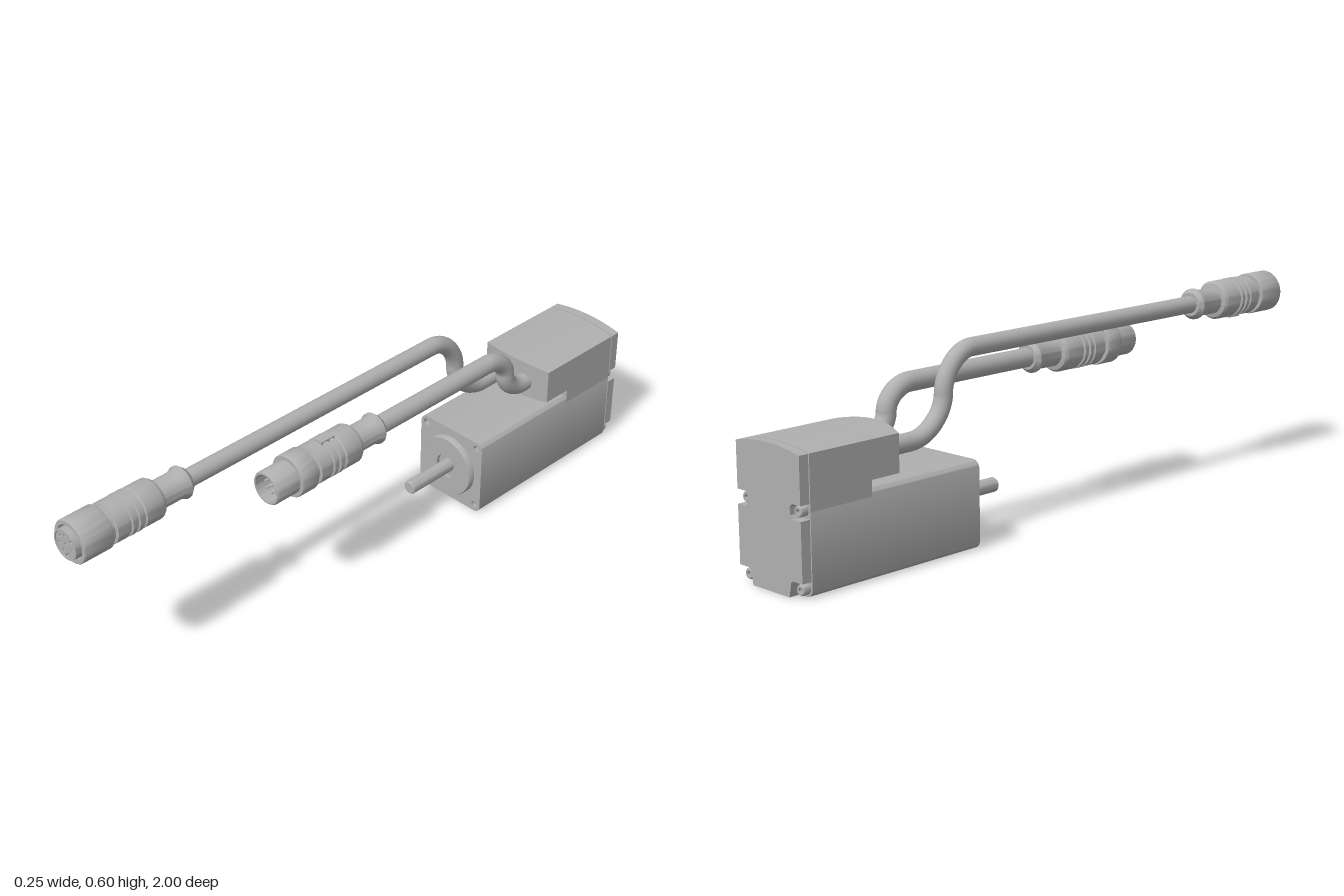
import * as THREE from 'three';
import { toCreasedNormals } from 'three/addons/utils/BufferGeometryUtils.js';

const grey = new THREE.MeshStandardMaterial({ color: 0xb0b0b0 });
grey.name = 'motor grey';

const W = 0.124;        // half width of the motor
const AXIS = 0.124;     // height of the shaft axis
const BOLT = 0.102;     // bolt offset from the axis

function add(parent, name, geometry, x = 0, y = 0, z = 0) {
  const mesh = new THREE.Mesh(geometry, grey);
  mesh.name = name;
  mesh.position.set(x, y, z);
  parent.add(mesh);
  return mesh;
}

// Turned part along z; profile is [radius, z] from back to front
function turned(profile, segments = 40) {
  const points = profile.map(([r, z]) => new THREE.Vector2(r, z));
  const g = new THREE.LatheGeometry(points, segments);
  g.rotateX(Math.PI / 2);
  return toCreasedNormals(g, 0.6);
}

function extrude(shape, depth) {
  const g = new THREE.ExtrudeGeometry(shape, { depth, bevelEnabled: false, curveSegments: 12 });
  return toCreasedNormals(g, 0.6);
}

function roundedSquare(h, r) {
  const s = new THREE.Shape();
  s.absarc(h - r, h - r, r, 0, Math.PI / 2);
  s.absarc(-h + r, h - r, r, Math.PI / 2, Math.PI);
  s.absarc(-h + r, -h + r, r, Math.PI, Math.PI * 1.5);
  s.absarc(h - r, -h + r, r, Math.PI * 1.5, Math.PI * 2);
  s.closePath();
  return s;
}

function circleHole(x, y, r) {
  const p = new THREE.Path();
  p.absarc(x, y, r, 0, Math.PI * 2, true);
  return p;
}

const crown = x => 0.388 - 0.014 * (x / W) ** 2;

// Upper housing with crowned top and bowed front
function housingGeometry() {
  const g = new THREE.BoxGeometry(2 * W, 1, 1, 20, 1, 1);
  const p = g.attributes.position;
  for (let i = 0; i < p.count; i++) {
    const x = p.getX(i);
    p.setY(i, p.getY(i) > 0 ? crown(x) : 0.268);
    p.setZ(i, p.getZ(i) > 0 ? -0.645 - 0.025 * (x / W) ** 2 : -0.968);
  }
  g.computeVertexNormals();
  return g;
}

// Rear cover outline with four screw notches
function coverShape() {
  const half = [[0.072, 0], [0.08, 0.04], [0.088, 0.045], [W, 0.045], [W, 0.206],
    [0.092, 0.206], [0.083, 0.216], [0.083, 0.236], [0.092, 0.246], [W, 0.246]];
  const s = new THREE.Shape();
  half.forEach(([x, y], i) => (i ? s.lineTo(x, y) : s.moveTo(x, y)));
  for (let i = 0; i <= 16; i++) {
    const x = W * (1 - i / 8);
    s.lineTo(x, crown(x));
  }
  half.slice().reverse().forEach(([x, y]) => s.lineTo(-x, y));
  s.closePath();
  return s;
}

// Seven contacts round a central one
function contacts(radius, up) {
  const spots = [[0, 0]];
  for (let i = 0; i < 7; i++) {
    const a = up * Math.PI / 2 + (i * Math.PI * 2) / 7;
    spots.push([radius * Math.cos(a), radius * Math.sin(a)]);
  }
  return spots;
}

// Cable leaving the housing, rising in an S bend and running forward
function cableGeometry(y, bend, zLow, zMid, zHigh, zEnd, r) {
  const y0 = 0.318, ym = (y0 + y) / 2, k = 0.45, v = (h, z) => new THREE.Vector3(0, h, z);
  const path = new THREE.CurvePath();
  path.add(new THREE.LineCurve3(v(y0, -0.68), v(y0, zLow)));
  path.add(new THREE.CubicBezierCurve3(v(y0, zLow), v(y0, zLow + (zMid - zLow) * (1 - k)),
    v(ym - bend * k, zMid), v(ym, zMid)));
  path.add(new THREE.CubicBezierCurve3(v(ym, zMid), v(ym + bend * k, zMid),
    v(y, zHigh - (zHigh - zMid) * (1 - k)), v(y, zHigh)));
  path.add(new THREE.LineCurve3(v(y, zHigh), v(y, zEnd)));
  return new THREE.TubeGeometry(path, 160, r, 20);
}

// Strain relief and grooved grip shared by both plugs, starting at z = 0
const gripProfile = [[0.026, 0], [0.036, 0], [0.047, 0.013], [0.047, 0.02], [0.04, 0.034],
  [0.04, 0.105], [0.053, 0.108], [0.059, 0.117], [0.059, 0.175], [0.054, 0.178], [0.054, 0.185],
  [0.06, 0.187], [0.06, 0.199], [0.054, 0.201], [0.054, 0.208], [0.06, 0.21], [0.06, 0.222],
  [0.054, 0.224], [0.054, 0.231], [0.059, 0.233], [0.059, 0.27], [0.05, 0.272], [0.05, 0.29]];

function socketPlug() {
  const g = new THREE.Group();
  g.name = 'socketPlug';
  add(g, 'grip', turned(gripProfile));
  add(g, 'couplingNut', turned([[0.04, 0.285], [0.061, 0.285], [0.063, 0.288], [0.063, 0.377],
    [0.061, 0.38], [0.05, 0.38], [0.048, 0.36], [0.04, 0.36]]));
  add(g, 'sleeve', turned([[0.045, 0.34], [0.045, 0.395], [0.04, 0.395], [0.04, 0.34]]));
  const face = new THREE.Shape();
  face.absarc(0, 0, 0.0402, -Math.PI / 2 + 0.13, Math.PI * 1.5 - 0.13);
  face.lineTo(-0.005, -0.034);
  face.absarc(0, -0.034, 0.005, Math.PI, 0, true);
  face.closePath();
  contacts(0.027, 1).forEach(([x, y]) => face.holes.push(circleHole(x, y, 0.005)));
  add(g, 'contactFace', extrude(face, 0.03), 0, 0, 0.362);
  add(g, 'socketFloor', turned([[0.042, 0.355], [0.042, 0.37], [0, 0.37]]));
  add(g, 'gripKey', new THREE.BoxGeometry(0.026, 0.012, 0.05), 0, -0.056, 0.205);
  return g;
}

function pinPlug() {
  const g = new THREE.Group();
  g.name = 'pinPlug';
  add(g, 'grip', turned(gripProfile));
  add(g, 'couplingRing', turned([[0.04, 0.285], [0.061, 0.285], [0.063, 0.288], [0.063, 0.342],
    [0.061, 0.345], [0.045, 0.345]]));
  add(g, 'sleeve', turned([[0.05, 0.33], [0.05, 0.42], [0.047, 0.425], [0.042, 0.425],
    [0.042, 0.35], [0, 0.35]]));
  const pin = turned([[0.0035, 0], [0.0035, 0.054], [0.002, 0.058], [0, 0.058]], 12);
  contacts(0.024, -1).forEach(([x, y]) => add(g, 'pin', pin, x, y, 0.35));
  add(g, 'sleeveKey', new THREE.BoxGeometry(0.008, 0.008, 0.065), 0, 0.039, 0.382);
  add(g, 'gripKey', new THREE.BoxGeometry(0.026, 0.012, 0.05), 0, 0.056, 0.205);
  return g;
}

export function createModel() {
  const model = new THREE.Group();
  model.name = 'servoMotor';
  const corners = [[-1, -1], [1, -1], [1, 1], [-1, 1]];

  // Motor body and bolted front flange
  add(model, 'motorBody', extrude(roundedSquare(W, 0.024), 0.568), 0, AXIS, -0.968);
  const flange = roundedSquare(W, 0.024);
  corners.forEach(([sx, sy]) => flange.holes.push(circleHole(sx * BOLT, sy * BOLT, 0.011)));
  add(model, 'frontFlange', extrude(flange, 0.02), 0, AXIS, -0.4);
  add(model, 'pilotDisc', turned([[0.097, -0.385], [0.097, -0.363], [0.095, -0.36], [0.038, -0.36],
    [0.038, -0.372], [0, -0.372]], 56), 0, AXIS);
  add(model, 'shaft', turned([[0.021, -0.375], [0.021, -0.204], [0.018, -0.2], [0, -0.2]]), 0, AXIS);

  // Electronics housing above the rear
  add(model, 'upperHousing', housingGeometry());
  add(model, 'rearNeck', new THREE.BoxGeometry(2 * W, 0.046, 0.203), 0, 0.246, -0.8665);

  // Rear cover and its screws
  add(model, 'rearCover', extrude(coverShape(), 0.029), 0, 0, -1);
  const screw = turned([[0.015, 0], [0.015, 0.02], [0.013, 0.023], [0.007, 0.023],
    [0.007, 0.012], [0, 0.012]], 24);
  corners.forEach(([sx, sy]) => {
    add(model, 'coverScrew', screw, sx * BOLT, AXIS + sy * BOLT, -0.967).rotation.y = Math.PI;
  });

  // Cables and their plugs
  add(model, 'longCable', cableGeometry(0.541, 0.11, -0.56, -0.435, -0.33, 0.62, 0.026), -0.045);
  add(model, 'shortCable', cableGeometry(0.455, 0.07, -0.635, -0.56, -0.475, 0.0, 0.028), 0.045);
  const socket = socketPlug();
  socket.position.set(-0.045, 0.541, 0.605);
  const pins = pinPlug();
  pins.position.set(0.045, 0.455, -0.02);
  model.add(socket, pins);
  return model;
}
